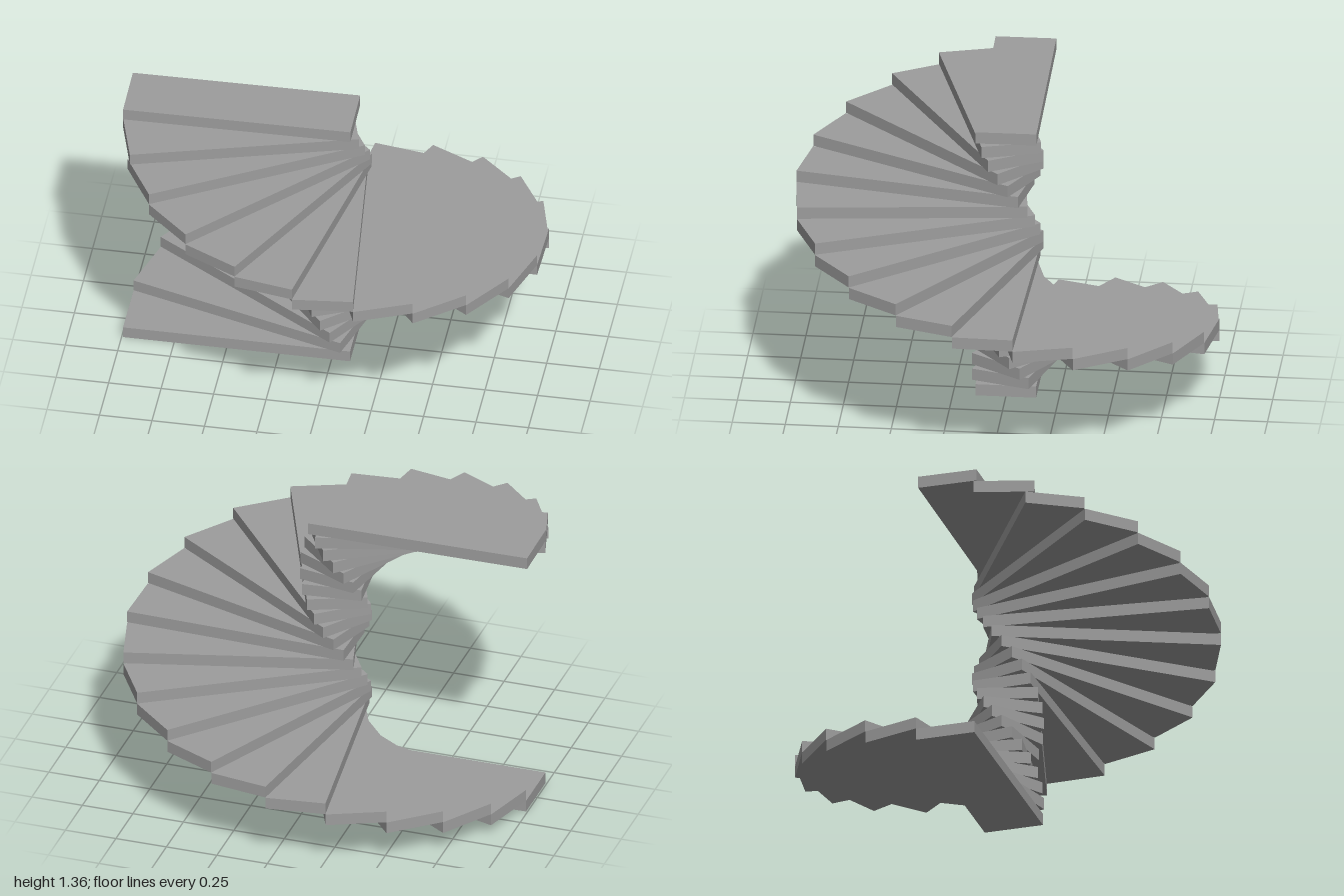
import * as THREE from 'three';

export function createModel() {
  const model = new THREE.Group();
  model.name = 'spiralStaircase';
  const material = new THREE.MeshStandardMaterial({ color: 0x9d9d9d, flatShading: true });

  const steps = 23, rise = 0.0592, thickness = 0.0575, width = 0.286;
  const inner = 0.091, outer = 0.99; // reach past the axis and out to the rim
  const turn = 16.49;                // degrees between neighbouring steps
  const topAngles = { 21: 343.8, 22: 359.4 }; // top two steps close the full circle

  // One plank, offset so that its origin lies on the stair axis
  const plank = new THREE.BoxGeometry(outer + inner, thickness, width);
  plank.translate((inner - outer) / 2, thickness / 2, 0);

  // Steps wind from -x round the back and up
  for (let i = 0; i < steps; i++) {
    const step = new THREE.Mesh(plank, material);
    step.name = `step${i + 1}`;
    step.position.set(-0.003, i * rise, 0);
    step.rotation.y = -THREE.MathUtils.degToRad(topAngles[i] ?? i * turn);
    model.add(step);
  }
  return model;
}
